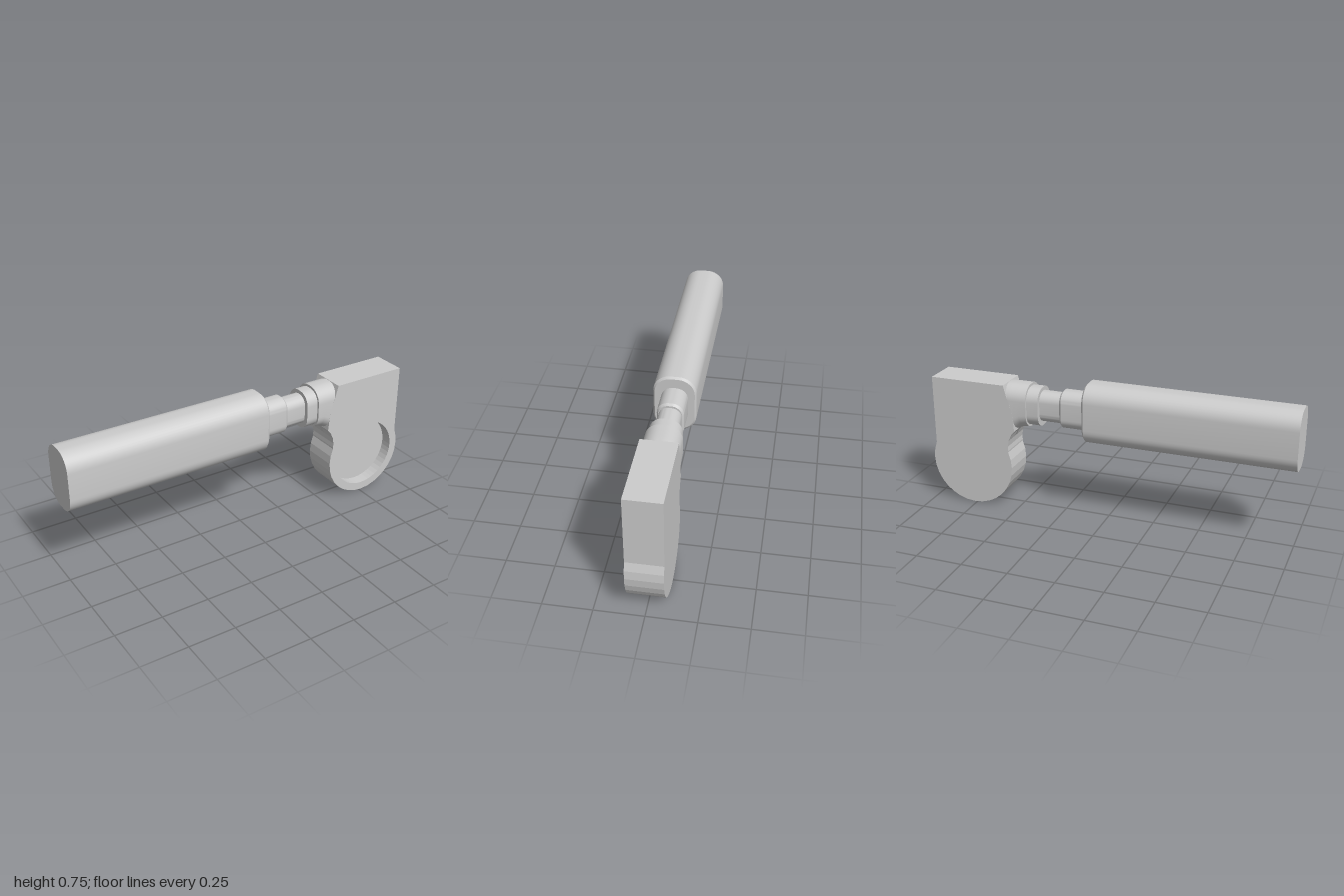
import * as THREE from 'three';
import { toCreasedNormals } from 'three/addons/utils/BufferGeometryUtils.js';

const material = new THREE.MeshStandardMaterial({ color: 0xcccccc });

function part(name, geometry) {
  const mesh = new THREE.Mesh(geometry, material);
  mesh.name = name;
  return mesh;
}

// Rounded-rectangle ring in the zy plane, counter-clockwise seen from +x
function ring([x, halfZ, low, high, radius], steps = 10) {
  const points = [];
  for (let corner = 0; corner < 4; corner++) {
    const right = corner === 0 || corner === 3;
    const top = corner < 2;
    for (let i = 0; i <= steps; i++) {
      const a = (corner + i / steps) * Math.PI / 2;
      const z = (right ? -1 : 1) * (halfZ - radius) - Math.cos(a) * radius;
      const y = (top ? high - radius : low + radius) + Math.sin(a) * radius;
      points.push(new THREE.Vector3(x, y, z));
    }
  }
  return points;
}

// Solid bar along x through sections [x, halfZ, low, high, cornerRadius], closed at both ends
function bar(sections) {
  const cap = ([x, , low, high]) => [x, 0, (low + high) / 2, (low + high) / 2, 0];
  const rings = [cap(sections[0]), ...sections, cap(sections.at(-1))].map((s) => ring(s));
  const triangles = [];
  const add = (a, b, c) => {
    const area = b.clone().sub(a).cross(c.clone().sub(a)).length();
    if (area > 1e-9) triangles.push(a, b, c);
  };
  for (let i = 0; i < rings.length - 1; i++) {
    const n = rings[i].length;
    for (let j = 0; j < n; j++) {
      const k = (j + 1) % n;
      add(rings[i][j], rings[i][k], rings[i + 1][j]);
      add(rings[i][k], rings[i + 1][k], rings[i + 1][j]);
    }
  }
  const geometry = new THREE.BufferGeometry().setFromPoints(triangles);
  geometry.computeVertexNormals();
  return toCreasedNormals(geometry, 0.55);
}

// Head outline: square top, concave throat and a round lower lobe
const lobe = { x: 0.764, y: 0.236, r: 0.236 };
function headShape() {
  const points = [[0.56, 0.705], [0.545, 0.65], [0.515, 0.56], [0.505, 0.452], [0.525, 0.428],
    [0.54, 0.395], [0.547, 0.36], [0.545, 0.335]].map((p) => new THREE.Vector2(...p));
  const start = THREE.MathUtils.degToRad(157.5);
  for (let i = 0; i <= 20; i++) {
    const a = start + (i / 16) * Math.PI;
    points.push(new THREE.Vector2(lobe.x + lobe.r * Math.cos(a), lobe.y + lobe.r * Math.sin(a)));
  }
  points.push(new THREE.Vector2(0.982, 0.705));
  return new THREE.Shape(points);
}

function slab(shape, z0, z1) {
  return new THREE.ExtrudeGeometry(shape, { depth: z1 - z0, bevelEnabled: false, curveSegments: 24 })
    .translate(0, 0, z0);
}

export function createModel() {
  const group = new THREE.Group();

  // Long grip with a small chamfer at the neck end
  group.add(part('handle', bar([
    [-1, 0.11, 0.43, 0.752, 0.09],
    [0.105, 0.11, 0.43, 0.752, 0.09],
    [0.115, 0.102, 0.44, 0.742, 0.085],
  ])));

  // Stepped neck
  group.add(part('neck', bar([
    [0.1, 0.068, 0.486, 0.691, 0.06],
    [0.245, 0.068, 0.486, 0.691, 0.06],
    [0.256, 0.06, 0.496, 0.681, 0.053],
    [0.256, 0.058, 0.506, 0.671, 0.052],
    [0.37, 0.058, 0.506, 0.671, 0.052],
    [0.37, 0.081, 0.481, 0.691, 0.07],
    [0.435, 0.081, 0.481, 0.691, 0.07],
  ])));

  // Collar that flares down into the head
  group.add(part('collar', bar([
    [0.435, 0.092, 0.47, 0.704, 0.08],
    [0.475, 0.092, 0.466, 0.704, 0.08],
    [0.505, 0.092, 0.451, 0.704, 0.08],
    [0.525, 0.092, 0.428, 0.704, 0.08],
    [0.54, 0.092, 0.395, 0.704, 0.08],
    [0.57, 0.09, 0.36, 0.703, 0.08],
  ])));

  // Head: solid back layer and a front layer with the round recess
  const head = new THREE.Group();
  head.name = 'head';
  const pierced = headShape();
  pierced.holes.push(new THREE.Path().absarc(lobe.x, lobe.y, 0.191, 0, Math.PI * 2, true));
  head.add(part('headBack', slab(headShape(), -0.0925, 0.03)));
  head.add(part('headRecessRim', slab(pierced, 0.03, 0.0925)));
  group.add(head);

  return group;
}
